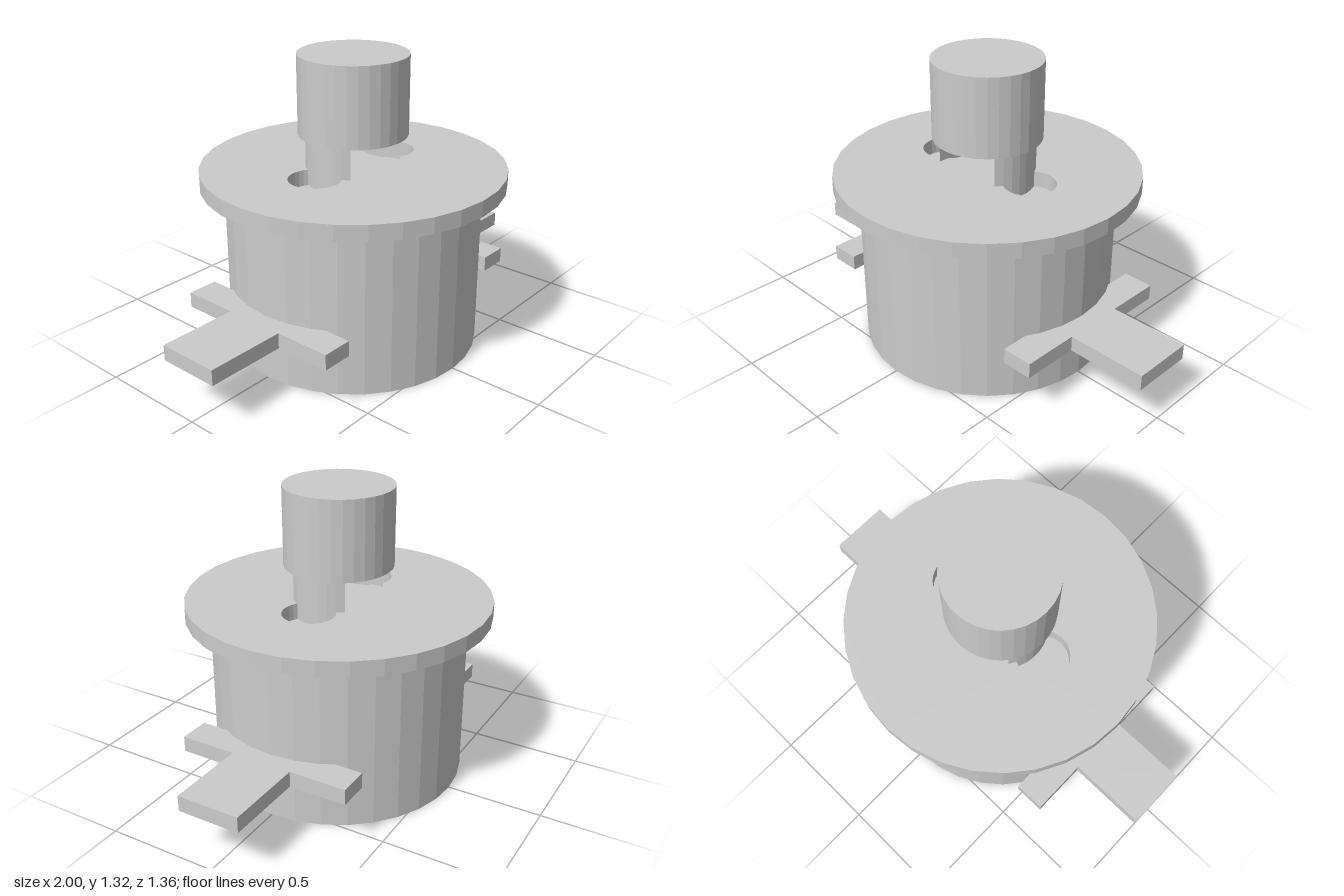
import * as THREE from 'three';

const SIDES = 32;
const material = new THREE.MeshStandardMaterial({ color: 0xcccccc, flatShading: true });

function add(parent, name, geometry, x = 0, y = 0, z = 0) {
  const mesh = new THREE.Mesh(geometry, material);
  mesh.name = name;
  mesh.position.set(x, y, z);
  parent.add(mesh);
  return mesh;
}

// Points of a circular arc in the plan
function arc(cx, r, from, to, n) {
  return Array.from({ length: n + 1 }, (_, i) => {
    const a = from + ((to - from) * i) / n;
    return new THREE.Vector2(cx + r * Math.cos(a), r * Math.sin(a));
  });
}

const circle = (cx, r) => arc(cx, r, 0, Math.PI * 2, SIDES).slice(0, -1);

// Extrude a plan outline upwards from y = 0
function prism(shape, height) {
  return new THREE.ExtrudeGeometry(shape, { depth: height, bevelEnabled: false })
    .rotateX(-Math.PI / 2);
}

export function createModel() {
  const model = new THREE.Group();
  model.name = 'model';

  // Main drum
  add(model, 'body', new THREE.CylinderGeometry(0.572, 0.572, 0.752, SIDES), 0, 0.376);

  // Lid with two round holes
  const lid = new THREE.Shape(circle(0, 0.68));
  for (const s of [-1, 1]) lid.holes.push(new THREE.Path(circle(s * 0.253, 0.116)));
  add(model, 'lid', prism(lid, 0.072), 0, 0.752);

  // Knob
  add(model, 'knob', new THREE.CylinderGeometry(0.243, 0.243, 0.356, SIDES), 0, 1.145);

  // Knob supports: circular segments with a flat inner face
  const half = Math.acos(0.171 / 0.214);
  // T-shaped side bracket outline
  const bracket = [[0.5, -0.4], [0.64, -0.4], [0.64, -0.142], [1, -0.142],
    [1, 0.142], [0.64, 0.142], [0.64, 0.4], [0.5, 0.4]].map(p => new THREE.Vector2(...p));

  for (const [side, turn] of [['left', 0], ['right', Math.PI]]) {
    const post = prism(new THREE.Shape(arc(0, 0.214, -half, half, 7)), 0.215);
    add(model, side + 'Post', post, 0, 0.752).rotation.y = turn;
    add(model, side + 'Bracket', prism(new THREE.Shape(bracket), 0.07), 0, 0.23).rotation.y = turn;
  }
  return model;
}
